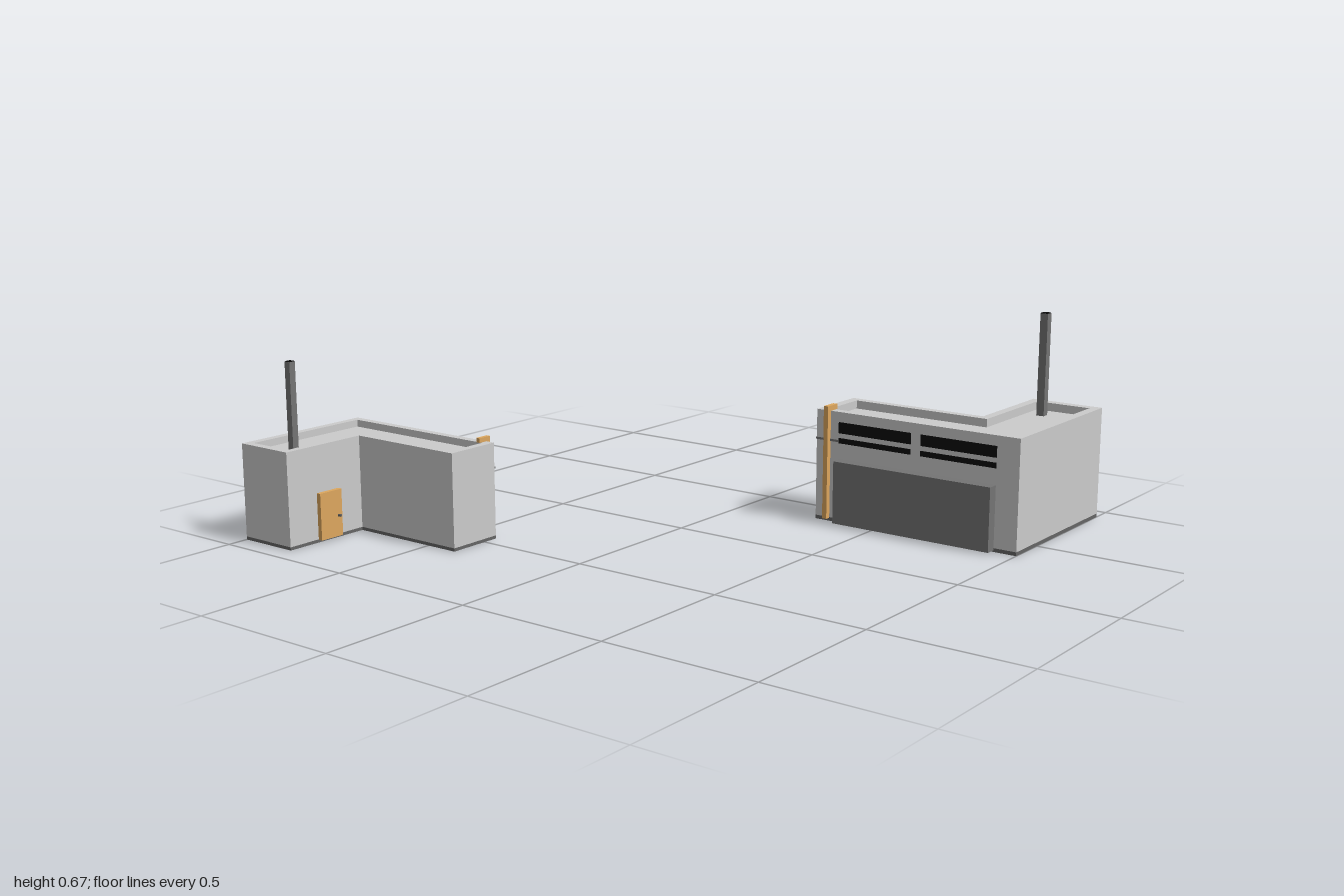
import * as THREE from 'three';

const mat = (color, side = THREE.FrontSide) =>
  new THREE.MeshStandardMaterial({ color, side, flatShading: true });
const grey = mat(0xcccccc, THREE.DoubleSide);
const base = mat(0x666666, THREE.DoubleSide);
const dark = mat(0x747474);
const black = mat(0x0a0a0a);
const wood = mat(0xdda75e);

// L-shaped plan as [x, -z], counter-clockwise from above
const outer = [[0.276, 0.362], [1, 0.362], [1, 0.931], [0.757, 0.931], [0.757, 0.581], [0.276, 0.581]];
const inner = [[0.307, 0.392], [0.97, 0.392], [0.97, 0.9], [0.786, 0.9], [0.786, 0.552], [0.307, 0.552]];

function mesh(name, geometry, material) {
  const m = new THREE.Mesh(geometry, material);
  m.name = name;
  return m;
}

// Box given by its limits on each axis
function box(name, [x0, x1], [y0, y1], [z0, z1], material) {
  const g = new THREE.BoxGeometry(x1 - x0, y1 - y0, z1 - z0);
  g.translate((x0 + x1) / 2, (y0 + y1) / 2, (z0 + z1) / 2);
  return mesh(name, g, material);
}

// Upright walls along a closed plan, facing outwards (or inwards)
function walls(plan, y0, y1, inward = false) {
  const pos = [];
  plan.forEach((p, i) => {
    let a = p, b = plan[(i + 1) % plan.length];
    if (inward) [a, b] = [b, a];
    const A = [a[0], y0, -a[1]], B = [b[0], y0, -b[1]];
    const C = [b[0], y1, -b[1]], D = [a[0], y1, -a[1]];
    pos.push(...A, ...B, ...C, ...A, ...C, ...D);
  });
  const g = new THREE.BufferGeometry();
  g.setAttribute('position', new THREE.Float32BufferAttribute(pos, 3));
  g.computeVertexNormals();
  return g;
}

// Level surface over a plan, with an optional hole
function slab(plan, y, hole) {
  const points = (list) => list.map(([x, d]) => new THREE.Vector2(x, d));
  const shape = new THREE.Shape(points(plan));
  if (hole) shape.holes.push(new THREE.Path(points(hole)));
  const g = new THREE.ShapeGeometry(shape);
  g.rotateX(-Math.PI / 2);
  g.translate(0, y, 0);
  return g;
}

function createBuilding(name) {
  const g = new THREE.Group();
  g.name = name;

  // Open-bottomed shell with parapet and sunken roof
  g.add(
    mesh('plinth', walls(outer, 0, 0.012), base),
    mesh('outerWalls', walls(outer, 0.012, 0.365), grey),
    mesh('parapetTop', slab(outer, 0.365, inner), grey),
    mesh('parapetInside', walls(inner, 0.338, 0.365, true), grey),
    mesh('roof', slab(inner, 0.338), grey)
  );

  // Loading shutter and strip windows, set through the long wall
  g.add(box('shutter', [0.363, 0.923], [0.005, 0.21], [-0.365, -0.326], dark));
  for (const [x0, x1] of [[0.36, 0.624], [0.66, 0.923]]) {
    g.add(box('upperWindow', [x0, x1], [0.296, 0.332], [-0.365, -0.359], black));
    g.add(box('lowerWindow', [x0, x1], [0.263, 0.28], [-0.365, -0.359], black));
  }

  // Downpipe hooked over the parapet, with its bracket
  g.add(
    box('downpipe', [0.313, 0.329], [0.01, 0.382], [-0.361, -0.343], wood),
    box('downpipeHook', [0.313, 0.329], [0.365, 0.382], [-0.398, -0.361], wood),
    box('pipeBracket', [0.276, 0.36], [0.267, 0.274], [-0.362, -0.357], dark)
  );

  // Side door, set through the wall, with handle
  g.add(
    box('door', [0.739, 0.76], [0.01, 0.187], [-0.797, -0.694], wood),
    box('doorHandle', [0.727, 0.739], [0.085, 0.093], [-0.715, -0.707], base)
  );

  // Chimney with a sooty mouth
  g.add(
    box('chimney', [0.827, 0.853], [0.338, 0.672], [-0.838, -0.812], dark),
    box('chimneyMouth', [0.828, 0.852], [0.671, 0.674], [-0.837, -0.813], black)
  );
  return g;
}

export function createModel() {
  const model = new THREE.Group();
  model.name = 'factoryPair';
  const large = createBuilding('largeFactory');

  // Smaller copy turned to face the other way
  const small = createBuilding('smallFactory');
  small.rotation.y = Math.PI;
  small.scale.setScalar(0.845);
  small.position.set(-0.155, 0, 0.143);

  model.add(large, small);
  return model;
}
